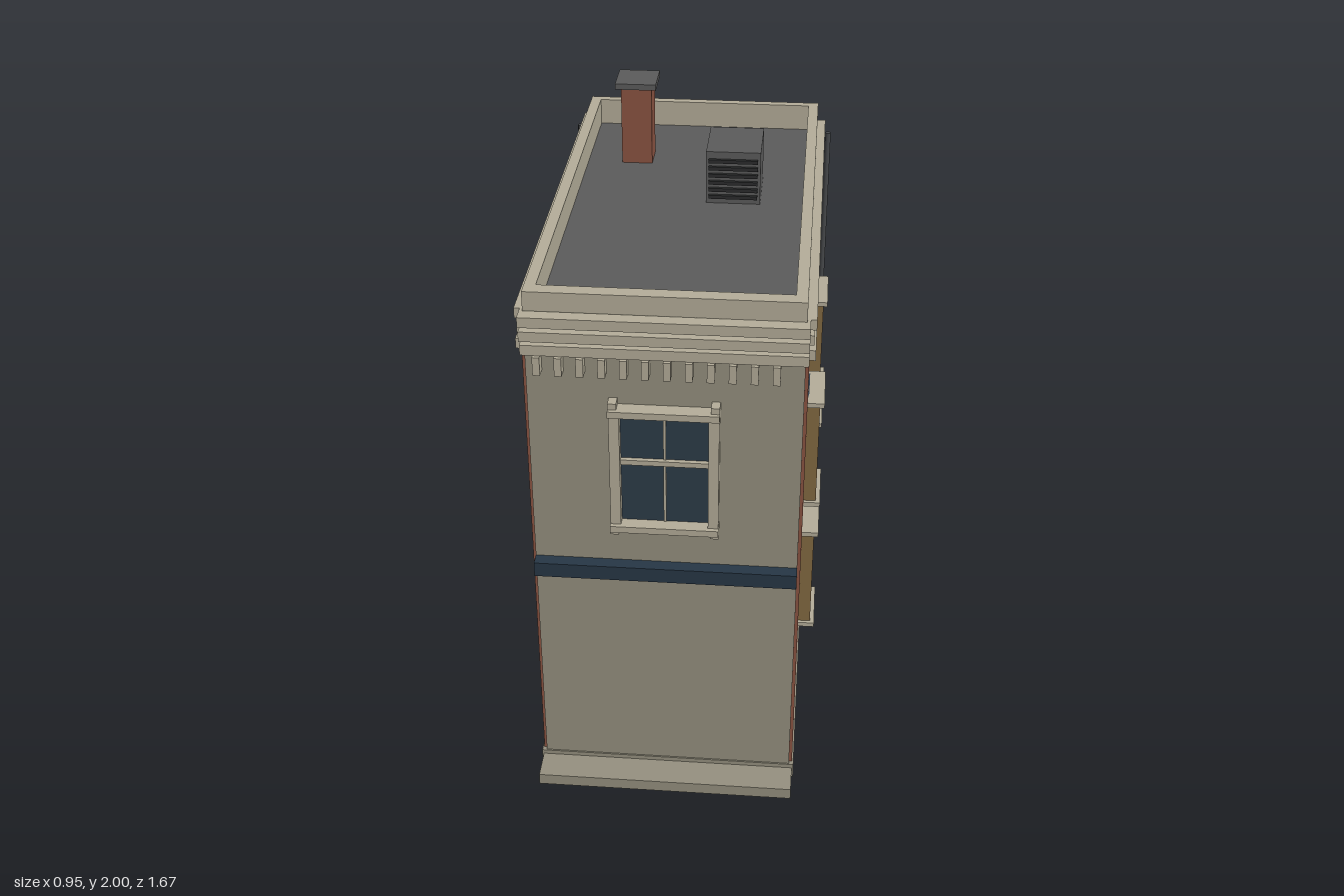
import * as THREE from 'three';

const mat = (name, color) => {
  const m = new THREE.MeshStandardMaterial({ color });
  m.name = name;
  return m;
};

export function createModel() {
  const brick = mat('brick', 0x8b5442);
  const stone = mat('facade stone', 0x969180);
  const trim = mat('pale trim', 0xb5ae9a);
  const roofing = mat('roofing', 0x5c5c5c);
  const glass = mat('glass', 0x2d3c49);
  const navy = mat('navy band', 0x273746);
  const wood = mat('window wood', 0x846a42);
  const metal = mat('pipe metal', 0x47494b);
  const dark = mat('louver dark', 0x2b2c2d);

  const model = new THREE.Group();
  model.name = 'rowHouse';

  // Box given by its limits on each axis
  const box = (name, m, x0, x1, y0, y1, z0, z1, parent = model) => {
    const mesh = new THREE.Mesh(new THREE.BoxGeometry(x1 - x0, y1 - y0, z1 - z0), m);
    mesh.position.set((x0 + x1) / 2, (y0 + y1) / 2, (z0 + z1) / 2);
    mesh.name = name;
    parent.add(mesh);
    return mesh;
  };
  const group = (name) => {
    const g = new THREE.Group();
    g.name = name;
    model.add(g);
    return g;
  };
  const rect = (Type, x0, x1, y0, y1) => {
    const s = new Type();
    s.moveTo(x0, y0);
    s.lineTo(x1, y0);
    s.lineTo(x1, y1);
    s.lineTo(x0, y1);
    s.closePath();
    return s;
  };

  // Main walls, base and front step
  box('walls', brick, -0.42, 0.42, 0.03, 1.705, -0.81, 0.715);
  box('facade', stone, -0.41, 0.41, 0.03, 1.74, 0.7, 0.727);
  box('base', stone, -0.425, 0.425, 0, 0.055, -0.835, 0.732);
  box('frontStep', stone, -0.42, 0.42, 0, 0.04, 0.73, 0.835);

  // Back wall with recessed windows
  const floors = [[0.365, 0.76], [0.865, 1.26]];
  const back = rect(THREE.Shape, -0.42, 0.42, 0.03, 1.705);
  for (const [y0, y1] of floors) {
    back.holes.push(rect(THREE.Path, -0.13, 0.13, y0, y1));
    box('backGlass', glass, -0.13, 0.13, y0, y1, -0.815, -0.808);
  }
  const backWall = new THREE.Mesh(
    new THREE.ExtrudeGeometry(back, { depth: 0.022, bevelEnabled: false }), brick);
  backWall.position.z = -0.83;
  backWall.name = 'backWall';
  model.add(backWall);

  // Roof deck inside the parapet
  box('roofDeck', roofing, -0.38, 0.38, 1.69, 1.71, -0.8, 0.69);
  const parapetShape = rect(THREE.Shape, -0.41, 0.41, -0.727, 0.82);
  parapetShape.holes.push(rect(THREE.Path, -0.375, 0.375, -0.68, 0.79));
  const parapet = new THREE.Mesh(
    new THREE.ExtrudeGeometry(parapetShape, { depth: 0.1, bevelEnabled: false }), trim);
  parapet.rotation.x = -Math.PI / 2;
  parapet.position.y = 1.7;
  parapet.name = 'parapet';
  model.add(parapet);

  // Cornice bands: [bottom, top, side reach, front reach]
  const cornice = group('cornice');
  for (const [y0, y1, x, z] of [
    [1.705, 1.738, 0.438, 0.77], [1.655, 1.687, 0.432, 0.762], [1.605, 1.638, 0.438, 0.752],
  ]) {
    box('frontCornice', trim, -0.42, 0.42, y0, y1, 0.71, z, cornice);
    for (const s of [-1, 1])
      box('sideCornice', trim, s < 0 ? -x : 0.4, s < 0 ? -0.4 : x, y0, y1, -0.817, 0.712, cornice);
  }
  for (let i = 0; i < 12; i++) {
    const x = -0.372 + i * 0.0637;
    box('dentil', trim, x - 0.011, x + 0.011, 1.545, 1.605, 0.72, 0.764, cornice);
  }

  // Front window
  const win = group('frontWindow');
  box('frontGlass', glass, -0.135, 0.135, 1.02, 1.42, 0.726, 0.733, win);
  for (const s of [-1, 1]) {
    box('jamb', trim, s * 0.149 - 0.016, s * 0.149 + 0.016, 1.01, 1.44, 0.72, 0.763, win);
    for (const y of [0.992, 1.435])
      box('ear', trim, s * 0.153 - 0.013, s * 0.153 + 0.013, y, y + 0.025, 0.72, 0.765, win);
  }
  for (const y of [1.008, 1.418])
    box('rail', trim, -0.166, 0.166, y, y + 0.022, 0.72, 0.778, win);
  box('meetingRail', trim, -0.133, 0.133, 1.238, 1.255, 0.726, 0.748, win);
  box('mullion', trim, -0.004, 0.004, 1.03, 1.42, 0.726, 0.738, win);

  // Storefront band
  box('storefrontBand', navy, -0.41, 0.41, 0.82, 0.87, 0.72, 0.77);

  // Side windows and downspouts, mirrored on both sides
  for (const s of [-1, 1]) {
    const side = (name, m, a, b, y0, y1, z0, z1) =>
      box(name, m, s > 0 ? a : -b, s > 0 ? b : -a, y0, y1, z0, z1);
    for (const z of [0.277, -0.411]) {
      for (const [y0, y1] of floors) {
        side('sideGlass', glass, 0.417, 0.424, y0, y1, z - 0.085, z + 0.085);
        for (const d of [-1, 1])
          side('sideJamb', wood, 0.415, 0.46, y0 + 0.01, y1 - 0.01,
            z + d * 0.081 - 0.01, z + d * 0.081 + 0.01);
        side('sideSill', trim, 0.415, 0.474, y0, y0 + 0.016, z - 0.103, z + 0.103);
        side('sideLintel', trim, 0.415, 0.474, y1 - 0.016, y1, z - 0.103, z + 0.103);
      }
    }
    const pipe = new THREE.Mesh(new THREE.CylinderGeometry(0.01, 0.01, 1.71, 8), metal);
    pipe.position.set(s * 0.449, 0.855, -0.768);
    pipe.name = 'downspout';
    model.add(pipe);
  }

  // Chimney
  box('chimney', brick, -0.257, -0.153, 1.7, 1.982, -0.542, -0.436);
  box('chimneyCap', roofing, -0.275, -0.137, 1.98, 2, -0.56, -0.42);

  // Rooftop vent unit with louvers
  box('ventUnit', roofing, 0.056, 0.234, 1.7, 1.89, -0.34, -0.126);
  for (let i = 0; i < 6; i++) {
    const y = 1.735 + i * 0.025;
    box('louver', dark, 0.065, 0.225, y - 0.006, y + 0.006, -0.13, -0.115);
  }
  return model;
}
